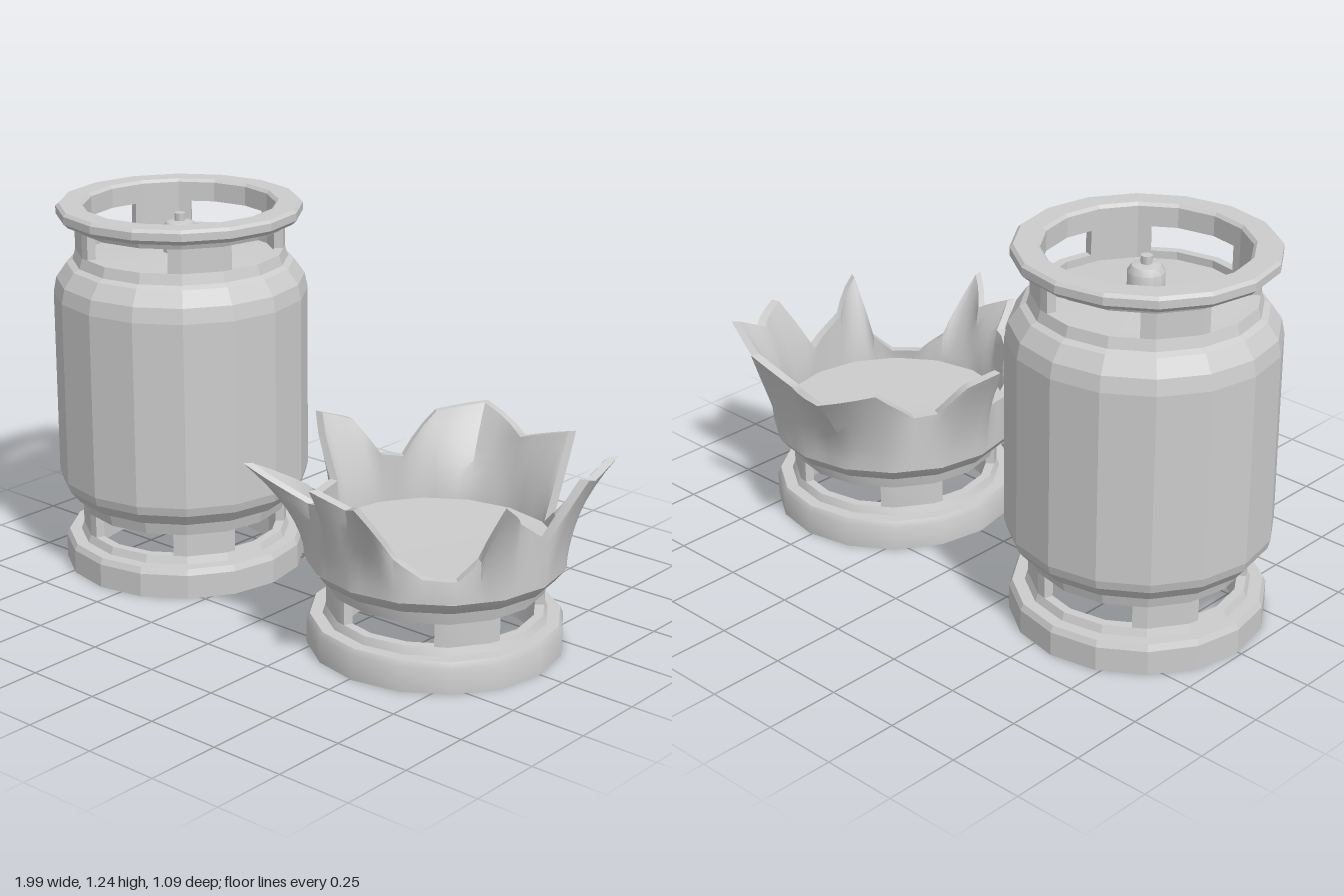
import * as THREE from 'three';
import { toCreasedNormals } from 'three/addons/utils/BufferGeometryUtils.js';

const SIDES = 16;
const rad = THREE.MathUtils.degToRad;
// radius factor that keeps a point on the sides of the 16-gon
const onFacet = (deg) => {
  const step = 360 / SIDES;
  const off = (((deg % step) + step) % step) - step / 2;
  return Math.cos(rad(step / 2)) / Math.cos(rad(off));
};

const flatGrey = new THREE.MeshStandardMaterial({ color: 0xcccccc, flatShading: true });
const smoothGrey = new THREE.MeshStandardMaterial({ color: 0xcccccc });

function addMesh(parent, name, geometry, smooth) {
  const geo = smooth ? toCreasedNormals(geometry, 0.65) : geometry;
  const mesh = new THREE.Mesh(geo, smooth ? smoothGrey : flatGrey);
  mesh.name = name;
  parent.add(mesh);
  return mesh;
}

const lathe = (points, sides = SIDES) =>
  new THREE.LatheGeometry(points.map(([r, y]) => new THREE.Vector2(r, y)), sides);

// profiles run up the outside and back down the inside
const BASE_RING = [[0.315, 0], [0.405, 0], [0.405, 0.08], [0.395, 0.1], [0.355, 0.1],
  [0.345, 0.125], [0.315, 0.125], [0.315, 0]];
const LOWER_BODY = [[0, 0.24], [0.315, 0.23], [0.315, 0.2], [0.345, 0.2], [0.355, 0.24],
  [0.38, 0.25], [0.412, 0.29]];
const UPPER_BODY = [[0.42, 0.32], [0.42, 0.94], [0.41, 0.99], [0.375, 1.04], [0.355, 1.05],
  [0.345, 1.085], [0.315, 1.085], [0.315, 1.06], [0, 1.075]];
const TOP_RING = [[0.315, 1.165], [0.345, 1.165], [0.355, 1.19], [0.39, 1.19], [0.405, 1.205],
  [0.405, 1.23], [0.395, 1.24], [0.325, 1.24], [0.315, 1.23], [0.315, 1.165]];
const VALVE = [[0.058, 1.06], [0.058, 1.15], [0.045, 1.17], [0.018, 1.175], [0.018, 1.2], [0, 1.2]];

// four wall pieces that leave the hand slots open between them
function addPillars(parent, name, y0, y1, smooth) {
  for (let k = 0; k < 4; k++) {
    const angles = [17, 22.5, 45, 52.5].map((a) => a + k * 90);
    const at = (r) => (deg) => new THREE.Vector2(
      r * onFacet(deg) * Math.cos(rad(deg)), r * onFacet(deg) * Math.sin(rad(deg)));
    const plan = [...angles.map(at(0.345)), ...angles.map(at(0.315)).reverse()];
    const geo = new THREE.ExtrudeGeometry(new THREE.Shape(plan), { depth: y1 - y0, bevelEnabled: false });
    geo.rotateX(Math.PI / 2).translate(0, y1, 0);
    addMesh(parent, name, geo, smooth);
  }
}

// closed band of columns, each column a list of points
function band(columns) {
  const n = columns.length, m = columns[0].length, index = [];
  for (let j = 0; j < n; j++) {
    for (let i = 0; i < m - 1; i++) {
      const a = j * m + i, c = ((j + 1) % n) * m + i;
      index.push(a, a + 1, c, c, a + 1, c + 1);
    }
  }
  const geo = new THREE.BufferGeometry();
  geo.setAttribute('position', new THREE.Float32BufferAttribute(columns.flat(2), 3));
  geo.setIndex(index);
  geo.computeVertexNormals();
  return geo;
}

// torn edge: angle in degrees, radius, height
const TORN_EDGE = [
  [-3, 0.41, 0.43], [15, 0.415, 0.52], [27.4, 0.51, 0.61], [33, 0.41, 0.42], [43, 0.405, 0.36],
  [58, 0.405, 0.365], [70, 0.42, 0.43], [77.7, 0.563, 0.62], [90, 0.44, 0.56], [102.6, 0.5, 0.605],
  [109.3, 0.424, 0.53], [122.4, 0.424, 0.5], [135.7, 0.6, 0.6], [146, 0.44, 0.5], [153, 0.41, 0.44],
  [174, 0.41, 0.45], [183, 0.527, 0.635], [195, 0.497, 0.6], [204, 0.417, 0.49], [215, 0.41, 0.48],
  [230.8, 0.49, 0.6], [247.6, 0.595, 0.605], [270, 0.455, 0.56], [292.2, 0.5, 0.615],
  [296.5, 0.41, 0.34], [311.5, 0.405, 0.41], [322, 0.555, 0.62], [331.3, 0.49, 0.57], [346.3, 0.5, 0.615],
];

// wall that bends outward into jagged petals
function addTornWall(parent) {
  const ROWS = 8, SUB = 3, outer = [], inner = [], edge = [];
  TORN_EDGE.forEach((p, k) => {
    const next = TORN_EDGE[(k + 1) % TORN_EDGE.length];
    const q = next[0] < p[0] ? [next[0] + 360, next[1], next[2]] : next;
    for (let s = 0; s < SUB; s++) {
      const [deg, rTop, yTop] = p.map((v, i) => THREE.MathUtils.lerp(v, q[i], s / SUB));
      const column = (inset) => Array.from({ length: ROWS + 1 }, (_, i) => {
        const t = i / ROWS;
        const r = 0.412 * onFacet(deg) + (rTop - 0.412) * t ** 1.8 - inset;
        return [r * Math.cos(rad(deg)), 0.29 + (yTop - 0.29) * t, r * Math.sin(rad(deg))];
      });
      const out = column(0), inn = column(0.03);
      outer.push(out);
      inner.push(inn.slice().reverse());
      edge.push([out[ROWS], inn[ROWS]]);
    }
  });
  addMesh(parent, 'tornWallOutside', band(outer), true);
  addMesh(parent, 'tornWallInside', band(inner), true);
  addMesh(parent, 'tornEdge', band(edge), true);
}

function createKeg() {
  const keg = new THREE.Group();
  keg.name = 'keg';
  addMesh(keg, 'baseRing', lathe(BASE_RING));
  addPillars(keg, 'basePillar', 0.125, 0.2);
  addMesh(keg, 'body', lathe([...LOWER_BODY, ...UPPER_BODY]));
  addPillars(keg, 'topPillar', 1.085, 1.165);
  addMesh(keg, 'topRing', lathe(TOP_RING));
  addMesh(keg, 'valve', lathe(VALVE, 12), true);
  return keg;
}

function createBurstKeg() {
  const keg = new THREE.Group();
  keg.name = 'burstKeg';
  addMesh(keg, 'baseRing', lathe(BASE_RING), true);
  addPillars(keg, 'basePillar', 0.125, 0.2, true);
  // lower shell closed by the inside floor
  addMesh(keg, 'lowerBody', lathe([...LOWER_BODY, [0.385, 0.29], [0.38, 0.33], [0, 0.325]]), true);
  addTornWall(keg);
  return keg;
}

export function createModel() {
  const model = new THREE.Group();
  model.name = 'kegs';
  const whole = createKeg();
  whole.position.x = -0.58;
  const burst = createBurstKeg();
  burst.position.x = 0.51;
  model.add(whole, burst);
  return model;
}
